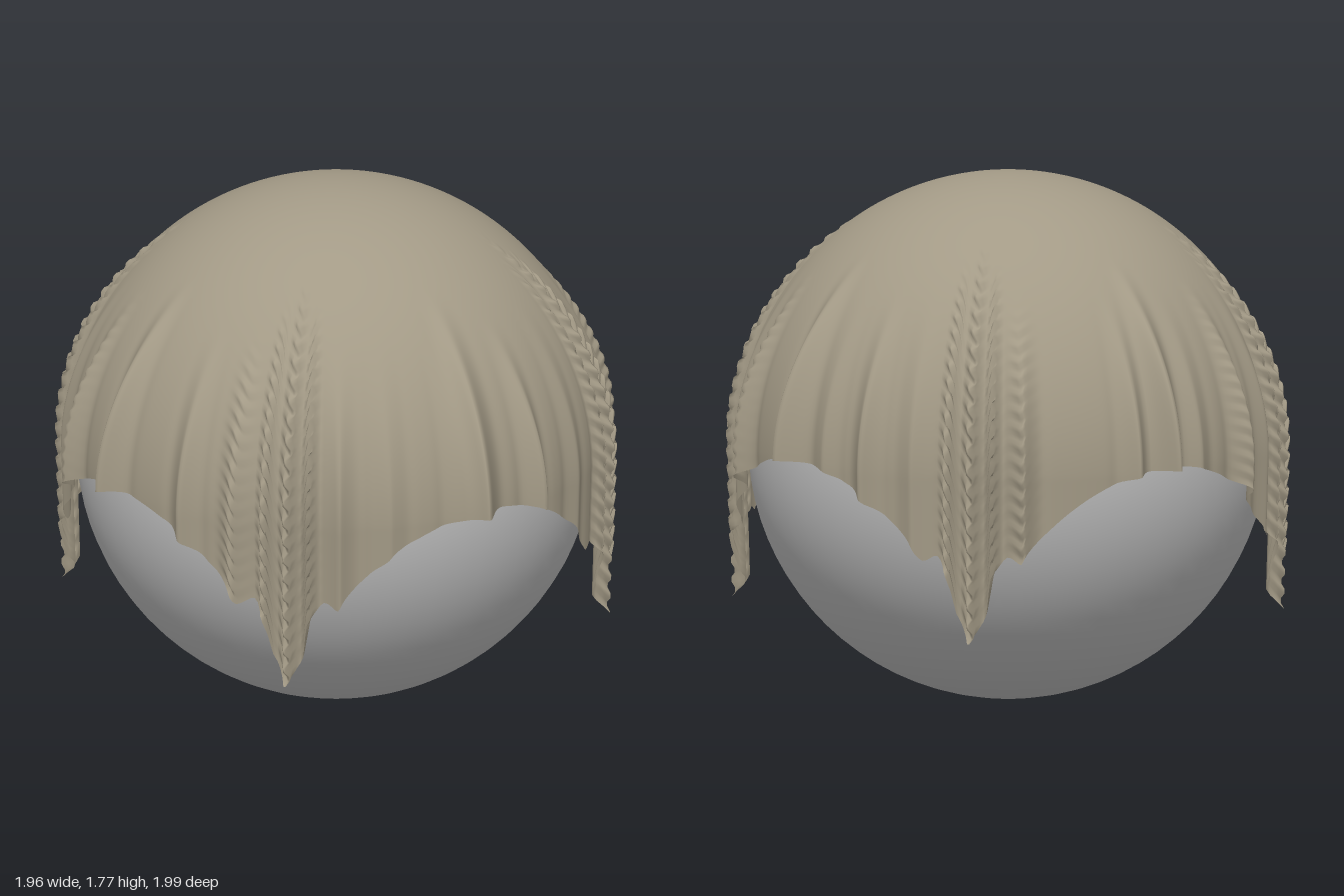
import * as THREE from 'three';

const R = 0.87;        // ball radius
const CLOTH = 0.9;     // resting radius of the cloth
const HALF = 1.4;      // half the side of the square cloth
const COLS = 500, ROWS = 120;
const DEG = Math.PI / 180;

const smooth = (a, b, v) => THREE.MathUtils.smoothstep(v, a, b);

// Folds: azimuth (deg, +x toward +z), half width (deg), height, arc where it starts, crimp, sideways lean
const folds = [];
const fold = (angle, width, height, start, crimp = 0, lean = 0) =>
  folds.push({ angle, width, height, start, crimp, lean });

// Large pleats at the middle of each side
fold(0, 2.6, 0.08, 0.62, 0, 0.2);
fold(92, 3.0, 0.1, 0.6, 0, 0.5);
fold(180, 2.6, 0.085, 0.62, 0, -0.2);
fold(271, 2.6, 0.1, 0.62, 0, 0.2);
// Tight crimped folds running into every corner
for (const corner of [45, 135, 225, 315]) {
  fold(corner, 1.3, 0.045, 0.5, 0.014);
  fold(corner - 4.5, 1.2, 0.04, 0.6, 0.012);
  fold(corner + 5, 1.2, 0.035, 0.6, 0.012);
}
// Looser folds in between
for (const [angle, height, crimp] of [
  [21, 0.055, 0.006], [30, 0.02, 0], [62, 0.015, 0], [77, 0.055, 0], [97, 0.03, 0], [113, 0.015, 0],
  [124, 0.04, 0], [147, 0.035, 0.008], [159, 0.045, 0], [198, 0.055, 0.004], [212, 0.02, 0],
  [236, 0.02, 0], [248, 0.06, 0.004], [262, 0.02, 0], [279, 0.05, 0], [304, 0.055, 0.006],
  [328, 0.02, 0], [339, 0.05, 0], [350, 0.015, 0],
]) fold(angle, 2.3, height, 0.75, crimp);

// Arc length from the crown to the hem of the square cloth
function hemArc(angle) {
  const a = angle * DEG;
  const square = HALF / Math.max(Math.abs(Math.cos(a)), Math.abs(Math.sin(a)));
  const off = Math.abs((((angle % 90) + 90) % 90) - 45);
  return square - 0.09 * smooth(3, 4.5, off) * (1 - smooth(7, 11, off));
}

// Point of the draped cloth: over the ball to its widest line, then straight down
function clothPoint(angle, s, row) {
  let lift = 0, turn = 0;
  for (const f of folds) {
    const d = ((angle - f.angle + 540) % 360) - 180;
    const t = d / f.width;
    if (Math.abs(t) > 3.5) continue;
    const grow = smooth(f.start, HALF, s);
    const bump = Math.exp(-t * t);
    const zigzag = f.crimp * smooth(f.start, f.start + 0.25, s) * (row % 4 < 2 ? 1 : -1);
    lift += bump * (f.height * grow + zigzag * 0.5) - 0.006 * grow * Math.exp(-((Math.abs(t) - 1.8) ** 2) * 3);
    turn += grow * bump * (f.lean * f.width - 0.45 * d) + (bump * zigzag * 0.5) / DEG;
  }
  const quarter = CLOTH * Math.PI / 2;
  const polar = Math.min(s, quarter) / CLOTH;
  const drop = Math.max(0, s - quarter);
  const r = Math.max(CLOTH + lift, R + 0.012);
  const a = (angle + turn) * DEG;
  const ring = r * Math.sin(polar) - 0.03 * drop;
  return [ring * Math.cos(a), R + r * Math.cos(polar) - drop, ring * Math.sin(a)];
}

function clothGeometry() {
  const positions = [], index = [];
  for (let j = 0; j <= ROWS; j++) {
    for (let i = 0; i < COLS; i++) {
      const angle = (i / COLS) * 360;
      positions.push(...clothPoint(angle, hemArc(angle) * j / ROWS, j));
    }
  }
  for (let j = 0; j < ROWS; j++) {
    for (let i = 0; i < COLS; i++) {
      const n = (i + 1) % COLS;
      const a = j * COLS + i, b = j * COLS + n, c = a + COLS, d = b + COLS;
      if (j > 0) index.push(a, b, c);
      index.push(b, d, c);
    }
  }
  const geometry = new THREE.BufferGeometry();
  geometry.setAttribute('position', new THREE.Float32BufferAttribute(positions, 3));
  geometry.setIndex(index);
  geometry.computeVertexNormals();
  // The crown is a single point, so its normals all face up
  for (let i = 0; i < COLS; i++) geometry.attributes.normal.setXYZ(i, 0, 1, 0);
  return geometry;
}

export function createModel() {
  const group = new THREE.Group();
  group.name = 'drapedBall';

  const ballGrey = new THREE.MeshStandardMaterial({ color: 0xbdbdbd });
  ballGrey.name = 'ball grey';
  const clothBeige = new THREE.MeshStandardMaterial({ color: 0xa39a86, side: THREE.DoubleSide });
  clothBeige.name = 'cloth beige';

  // Ball standing on the ground
  const ball = new THREE.Mesh(new THREE.SphereGeometry(R, 64, 40), ballGrey);
  ball.name = 'ball';
  ball.position.y = R;

  // Square cloth draped over it
  const cloth = new THREE.Mesh(clothGeometry(), clothBeige);
  cloth.name = 'cloth';

  group.add(ball, cloth);
  return group;
}
